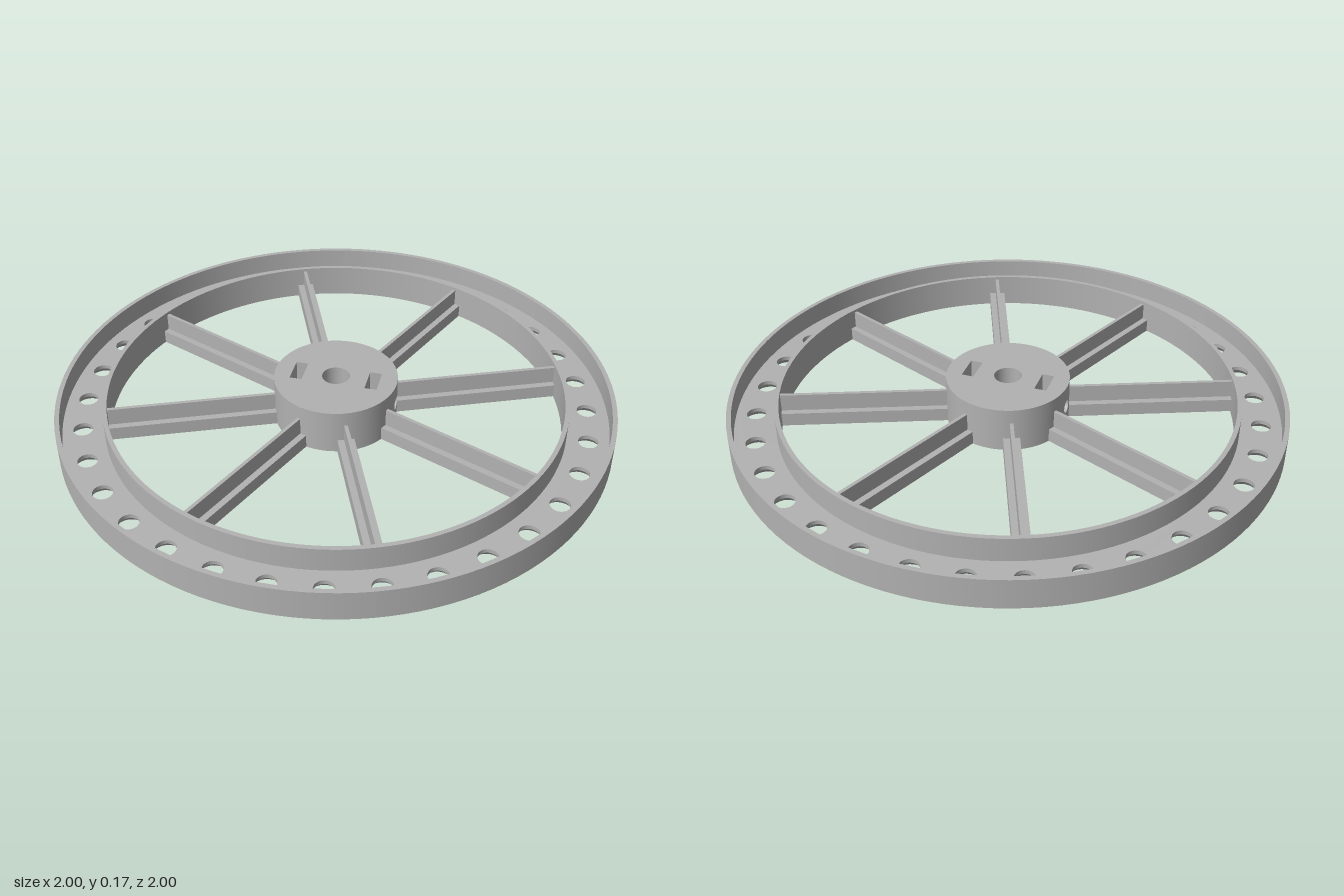
import * as THREE from 'three';

const SEG = 128;
const HUB_R = 0.222, HUB_H = 0.167, FLOOR = 0.035, SCREW_R = 0.025;
const SLOT = { r: 0.137, w: 0.097, d: 0.044 };
const SLOT_ANGLES = [Math.PI / 8, Math.PI / 8 + Math.PI];

export function createModel() {
  const model = new THREE.Group();
  const grey = new THREE.MeshStandardMaterial({ color: 0xb2b2b2 });
  grey.name = 'grey';

  const add = (name, geometry, parent = model) => {
    const mesh = new THREE.Mesh(geometry, grey);
    mesh.name = name;
    parent.add(mesh);
    return mesh;
  };

  const group = (name) => {
    const g = new THREE.Group();
    g.name = name;
    model.add(g);
    return g;
  };

  // turn a surface inside out, for the walls of holes
  const flip = (g) => {
    const idx = g.index, n = g.attributes.normal;
    for (let i = 0; i < idx.count; i += 3) {
      const a = idx.getX(i);
      idx.setX(i, idx.getX(i + 2));
      idx.setX(i + 2, a);
    }
    for (let i = 0; i < n.count; i++) n.setXYZ(i, -n.getX(i), -n.getY(i), -n.getZ(i));
    return g;
  };

  // revolve a profile, one sharp-edged band per pair of points
  const turn = (name, profile, parent, seg = SEG) => {
    const part = new THREE.Group();
    part.name = name;
    for (let i = 0; i + 1 < profile.length; i++) {
      const pts = [profile[i], profile[i + 1]].map(([r, y]) => new THREE.Vector2(r, y));
      add(name + 'Band', new THREE.LatheGeometry(pts, seg), part);
    }
    parent.add(part);
    return part;
  };

  const circle = (r, n, x = 0, z = 0) => Array.from({ length: n }, (_, i) => {
    const t = (i / n) * Math.PI * 2;
    return new THREE.Vector2(x + r * Math.cos(t), -z + r * Math.sin(t));
  });

  // flat horizontal face with holes
  const plate = (outline, holes, y, facingDown) => {
    const shape = new THREE.Shape(outline);
    holes.forEach((h) => shape.holes.push(new THREE.Path(h)));
    const g = new THREE.ShapeGeometry(shape).rotateX(-Math.PI / 2).translate(0, y, 0);
    return facingDown ? flip(g) : g;
  };

  // rim: channel with an outer and a slightly taller inner wall
  const rim = group('rim');
  turn('outerWall', [[1, 0], [1, 0.113], [0.983, 0.113], [0.983, FLOOR]], rim);
  turn('innerWall', [[0.834, FLOOR], [0.834, 0.125], [0.818, 0.125], [0.818, 0]], rim);

  // drilled rim floor, holes countersunk from below
  const spots = Array.from({ length: 32 }, (_, i) => {
    const t = (i / 32) * Math.PI * 2;
    return [0.91 * Math.sin(t), 0.91 * Math.cos(t)];
  });
  const drilled = (r) => spots.map(([x, z]) => circle(r, 24, x, z));
  add('rimFloor', plate(circle(0.983, SEG), [circle(0.834, SEG), ...drilled(0.035)], FLOOR, false), rim);
  add('rimUnderside', plate(circle(1, SEG), [circle(0.818, SEG), ...drilled(0.05)], 0, true), rim);
  for (const [x, z] of spots) {
    const hole = turn('rimHole', [[0.035, FLOOR], [0.035, 0.02], [0.05, 0]], rim, 24);
    hole.position.set(x, 0, z);
  }

  // eight spokes: wide foot with a thin upright web
  for (let i = 0; i < 8; i++) {
    const spoke = group('spoke');
    spoke.rotation.y = (i * Math.PI) / 4;
    add('spokeFoot', new THREE.BoxGeometry(0.06, 0.05, 0.608).translate(0, 0.025, 0.519), spoke);
    add('spokeWeb', new THREE.BoxGeometry(0.013, 0.065, 0.608).translate(0, 0.0815, 0.519), spoke);
  }

  // hub faces with bore and two nut slots
  const hub = group('hub');
  const slotOutline = (a) => [[-1, -1], [1, -1], [1, 1], [-1, 1]].map(([u, v]) => {
    const p = new THREE.Vector3((u * SLOT.w) / 2, 0, SLOT.r + (v * SLOT.d) / 2);
    p.applyAxisAngle(new THREE.Vector3(0, 1, 0), a);
    return new THREE.Vector2(p.x, -p.z);
  });
  const hubHoles = [circle(0.05, 32), ...SLOT_ANGLES.map(slotOutline)];
  add('hubTop', plate(circle(HUB_R, SEG), hubHoles, HUB_H, false), hub);
  add('hubUnderside', plate(circle(HUB_R, SEG), hubHoles, 0, true), hub);
  turn('bore', [[0.05, HUB_H], [0.05, 0]], hub, 32);

  for (const a of SLOT_ANGLES) {
    // four walls of the nut slot
    for (let i = 0; i < 4; i++) {
      const [len, off] = i % 2 ? [SLOT.d, SLOT.w / 2] : [SLOT.w, SLOT.d / 2];
      add('slotWall', new THREE.PlaneGeometry(len, HUB_H).translate(0, HUB_H / 2, -off)
        .rotateY((i * Math.PI) / 2).translate(0, 0, SLOT.r).rotateY(a), hub);
    }

    // side wall patch around the screw hole, wrapped on the hub
    const half = HUB_H / 2;
    const patch = new THREE.RingGeometry(1, 2, 32, 6);
    const p = patch.attributes.position, n = patch.attributes.normal;
    for (let i = 0; i < p.count; i++) {
      const len = Math.hypot(p.getX(i), p.getY(i));
      const c = p.getX(i) / len, s = p.getY(i) / len;
      const edge = half / Math.max(Math.abs(c), Math.abs(s));
      const r = SCREW_R + (edge - SCREW_R) * (len - 1);
      const t = a + (r * c) / HUB_R;
      p.setXYZ(i, HUB_R * Math.sin(t), half + r * s, HUB_R * Math.cos(t));
      n.setXYZ(i, Math.sin(t), 0, Math.cos(t));
    }
    add('hubSideAroundScrew', patch, hub);

    // plain side wall between the patches
    const w = half / HUB_R;
    add('hubSide', new THREE.CylinderGeometry(HUB_R, HUB_R, HUB_H, 48, 1, true, a + w, Math.PI - 2 * w)
      .translate(0, half, 0), hub);

    // screw hole from the side wall to the slot
    const inner = SLOT.r + SLOT.d / 2, depth = 0.2207 - inner;
    add('screwHole', flip(new THREE.CylinderGeometry(SCREW_R, SCREW_R, depth, 32, 1, true))
      .rotateX(Math.PI / 2).translate(0, half, inner + depth / 2).rotateY(a), hub);
  }

  return model;
}
